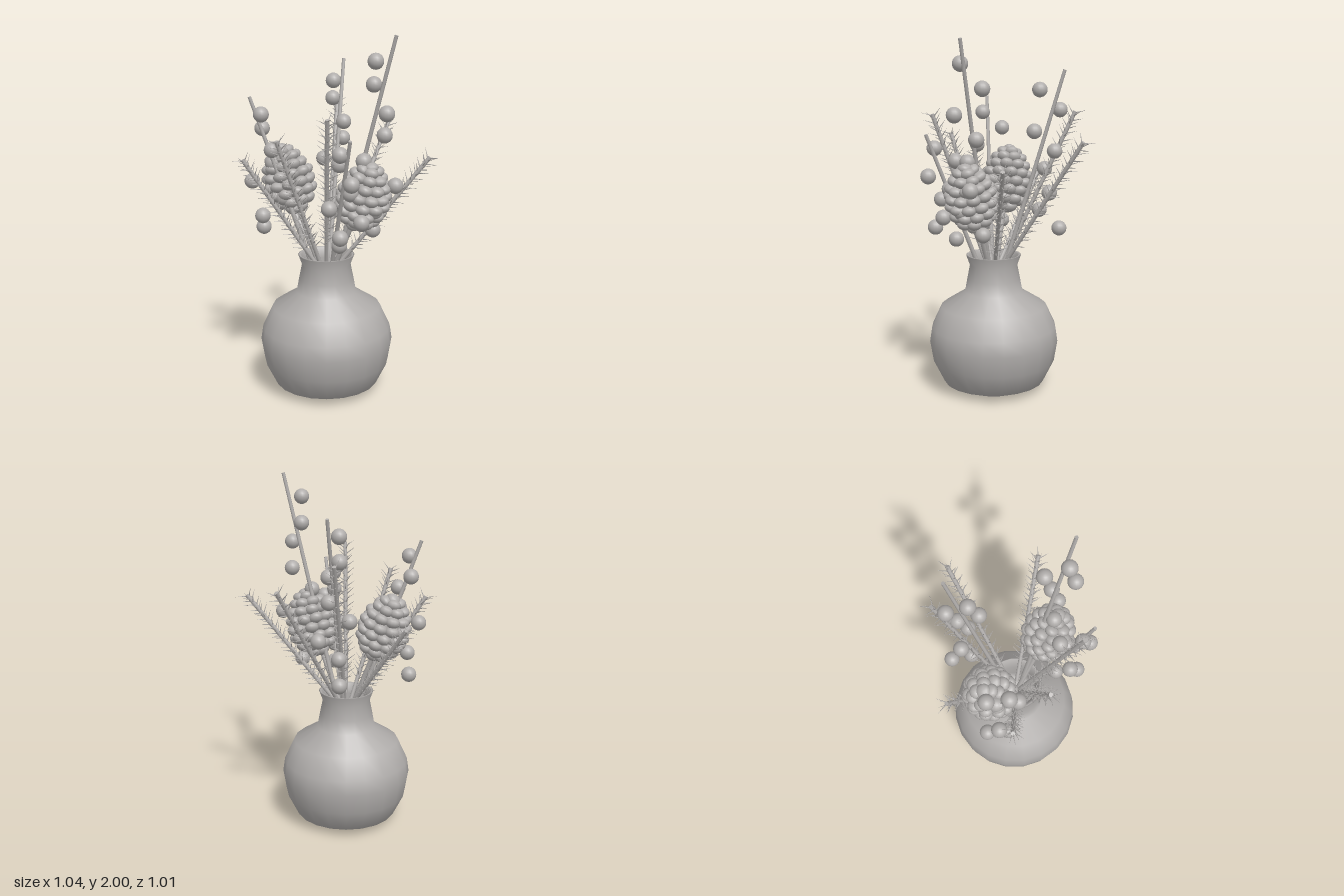
import * as THREE from 'three';
import { mergeGeometries } from 'three/addons/utils/BufferGeometryUtils.js';

const V = (x, y, z) => new THREE.Vector3(x, y, z);
const UP = V(0, 1, 0);
const CX = -0.015, CZ = 0.11; // vase axis
const clay = new THREE.MeshStandardMaterial({ color: 0xb0adab, side: THREE.DoubleSide });
clay.name = 'warm grey';

function add(parent, name, geometry) {
  const mesh = new THREE.Mesh(geometry, clay);
  mesh.name = name;
  parent.add(mesh);
  return mesh;
}

// tapered rod between two points
function rod(a, b, r0, r1, sides) {
  const d = b.clone().sub(a);
  const g = new THREE.CylinderGeometry(r1, r0, d.length(), sides);
  g.applyQuaternion(new THREE.Quaternion().setFromUnitVectors(UP, d.clone().normalize()));
  const m = a.clone().add(b).multiplyScalar(0.5);
  return g.translate(m.x, m.y, m.z);
}

function makeVase() {
  const profile = [[0, 0], [0.17, 0], [0.2, 0.008], [0.288, 0.045], [0.35, 0.17], [0.37, 0.29],
    [0.358, 0.37], [0.302, 0.49], [0.166, 0.575], [0.152, 0.65], [0.136, 0.73], [0.157, 0.787],
    [0.15, 0.79], [0.138, 0.785], [0.118, 0.73], [0.13, 0.6], [0.13, 0.5], [0, 0.48]];
  const g = new THREE.LatheGeometry(profile.map(([x, y]) => new THREE.Vector2(x, y)), 20);
  return g.translate(CX, 0, CZ);
}

// bare twig with eight berries stepping down around it
function berryBranch(tip, cx, cz, top, step, zFirst) {
  const g = new THREE.Group();
  g.name = 'berryBranch';
  add(g, 'twig', rod(V(CX, 0.5, CZ), tip, 0.014, 0.01, 7));
  const xs = [0, -0.07, 0.07];
  for (let i = 0; i < 8; i++) {
    const z = cz + (i % 2 ? -1 : 1) * 0.046 * zFirst;
    add(g, 'berry', new THREE.SphereGeometry(0.043, 16, 12)).position.set(cx + xs[i % 3], top - step * i, z);
  }
  return g;
}

// evergreen sprig: a stem with needles spiralling forward
function needleSprig(tip) {
  const g = new THREE.Group();
  g.name = 'needleSprig';
  const base = V(CX + (tip.x - CX) * 0.08, 0.7, CZ + (tip.z - CZ) * 0.08);
  add(g, 'sprigStem', rod(base, tip, 0.012, 0.012, 7));
  const dir = tip.clone().sub(base).normalize();
  const side = V().crossVectors(dir, UP).normalize();
  const lift = V().crossVectors(side, dir);
  const needles = [];
  const count = 84;
  for (let i = 0; i < count; i++) {
    const t = 0.18 + 0.81 * i / (count - 1);
    const a = i * 2.4;
    const p = base.clone().lerp(tip, t);
    const out = side.clone().multiplyScalar(Math.cos(a)).addScaledVector(lift, Math.sin(a));
    const q = p.clone().addScaledVector(out, 0.058).addScaledVector(dir, 0.04);
    needles.push(rod(p, q, 0.0045, 0.0003, 4));
  }
  add(g, 'needles', mergeGeometries(needles));
  return g;
}

// cone of overlapping rounded scales on a short stalk
function pineCone(center, axis) {
  const g = new THREE.Group();
  g.name = 'pineCone';
  add(g, 'coneStalk', rod(V(CX, 0.6, CZ), center, 0.014, 0.014, 7));
  const body = new THREE.Group();
  body.name = 'coneBody';
  body.position.copy(center);
  body.quaternion.setFromUnitVectors(UP, axis.normalize());
  g.add(body);
  add(body, 'core', new THREE.SphereGeometry(1, 16, 12).scale(0.105, 0.165, 0.105));
  const rows = [[-0.165, 0.035, 4], [-0.125, 0.08, 8], [-0.075, 0.105, 10], [-0.025, 0.112, 10],
    [0.025, 0.108, 10], [0.075, 0.092, 9], [0.12, 0.066, 7], [0.155, 0.035, 4], [0.172, 0, 1]];
  rows.forEach(([y, r, n], k) => {
    for (let i = 0; i < n; i++) {
      const a = (i + (k % 2) * 0.5) / n * Math.PI * 2;
      const s = add(body, 'scale', new THREE.SphereGeometry(1, 12, 8));
      s.scale.set(0.042, 0.03, 0.04);
      s.position.set(r * Math.cos(a), y, r * Math.sin(a));
      s.rotation.set(0, -a, 0.35);
    }
  });
  return g;
}

export function createModel() {
  const model = new THREE.Group();
  model.name = 'vaseWithBranches';
  add(model, 'vase', makeVase());

  model.add(
    berryBranch(V(0.405, 2, 0.08), 0.315, 0.085, 1.87, 0.131, 1),
    berryBranch(V(-0.155, 1.83, -0.26), -0.13, -0.168, 1.72, 0.112, 1),
    berryBranch(V(-0.36, 1.66, 0.33), -0.29, 0.275, 1.57, 0.093, 1),
    berryBranch(V(0.31, 1.49, 0.35), 0.24, 0.293, 1.41, 0.073, 1),
  );

  for (const [x, y, z] of [[0.03, 1.46, -0.45], [0.46, 1.34, -0.19], [-0.225, 1.6, -0.295],
    [-0.46, 1.23, 0.03], [-0.35, 1.33, 0.41], [-0.1, 1.46, 0.43], [0.19, 1.59, 0.38]]) {
    model.add(needleSprig(V(x, y, z)));
  }

  model.add(
    pineCone(V(0.235, 1.15, 0.115), V(0.25, 0.8, 0.04)),
    pineCone(V(-0.25, 1.19, 0.14), V(-0.25, 0.8, 0.04)),
  );
  return model;
}
